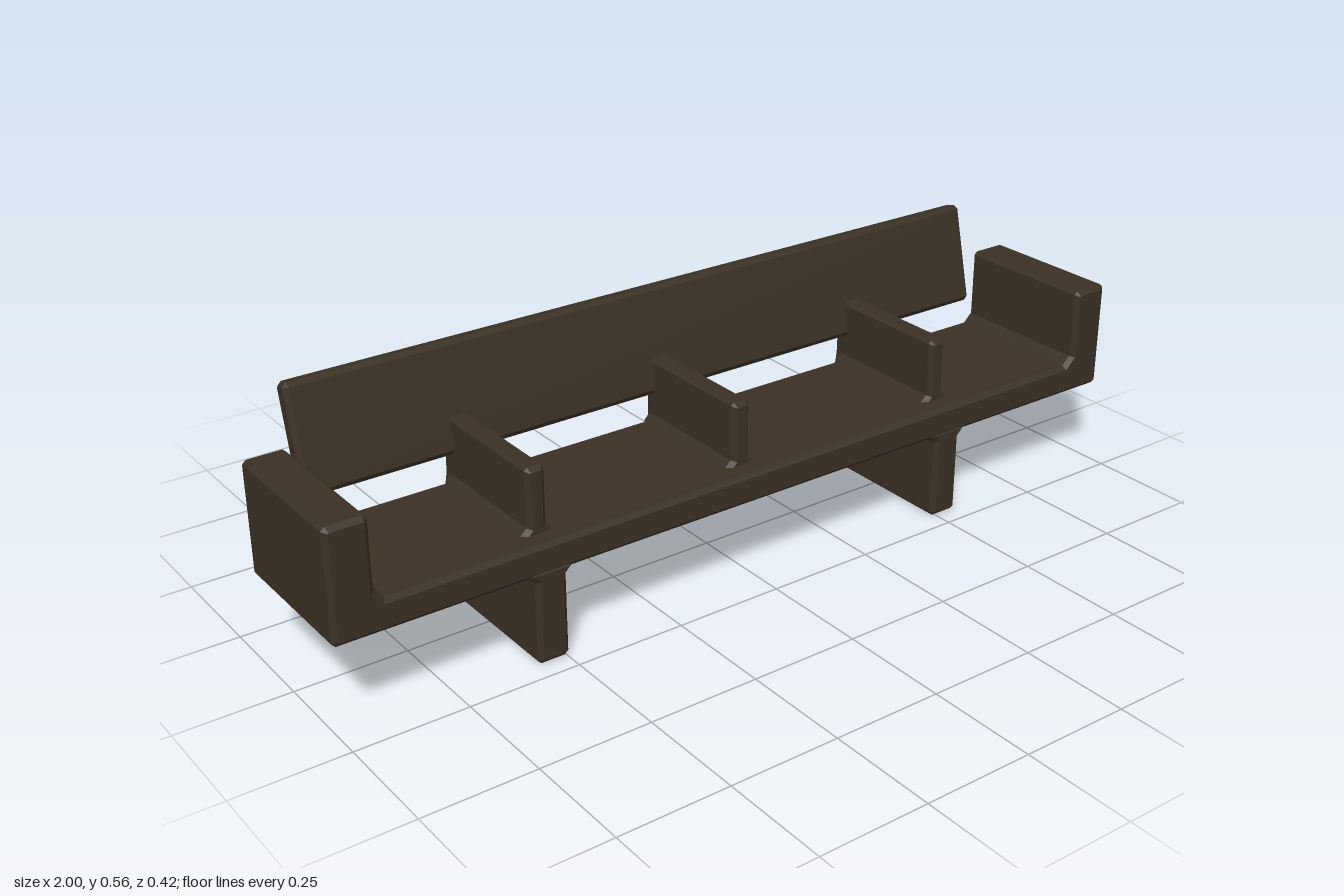
import * as THREE from 'three';
import { ConvexGeometry } from 'three/addons/geometries/ConvexGeometry.js';

const BEVEL = 0.01;

// Outline in x/y, extruded from zBack to zFront with chamfered end edges
function prism(points, zBack, zFront, bevel = BEVEL) {
  const shape = new THREE.Shape(points.map(([x, y]) => new THREE.Vector2(x, y)));
  const geometry = new THREE.ExtrudeGeometry(shape, {
    depth: zFront - zBack - 2 * bevel, bevelEnabled: true,
    bevelThickness: bevel, bevelSize: bevel, bevelOffset: -bevel, bevelSegments: 1,
  });
  return geometry.translate(0, 0, zBack + bevel);
}

// Completes a symmetric outline from its +x half, listed bottom to top
function mirrored(half) {
  return [...half, ...half.map(([x, y]) => [-x, y]).reverse()];
}

// Box with every edge and corner cut off
function chamferBox(w, h, d, c) {
  const points = [];
  for (const sx of [-1, 1]) for (const sy of [-1, 1]) for (const sz of [-1, 1]) {
    const cuts = [[0, c, c], [c, 0, c], [c, c, 0]];
    for (const [a, b, e] of cuts) {
      points.push(new THREE.Vector3(sx * (w / 2 - a), sy * (h / 2 - b), sz * (d / 2 - e)));
    }
  }
  return new ConvexGeometry(points);
}

export function createModel() {
  const group = new THREE.Group();
  const wood = new THREE.MeshStandardMaterial({ color: 0x3a3025 });
  wood.name = 'dark brown wood';

  const add = (name, geometry, x = 0) => {
    const mesh = new THREE.Mesh(geometry, wood);
    mesh.name = name;
    mesh.position.x = x;
    group.add(mesh);
    return mesh;
  };

  // Seat slab and upturned arms as one U-shaped body
  add('seatWithArms', prism(mirrored([
    [0.992, 0.2], [1, 0.208], [1, 0.442], [0.992, 0.45],
    [0.916, 0.45], [0.908, 0.442], [0.908, 0.29], [0.888, 0.27],
  ]), -0.14, 0.21));

  // Leaning backrest
  const backrest = add('backrest', chamferBox(1.77, 0.234, 0.044, 0.01));
  backrest.position.set(0, 0.446, -0.163);
  backrest.rotation.x = -0.235;

  // Panel legs, flared where they meet the seat, with tapering rear posts
  const leg = prism(mirrored([
    [0.028, 0], [0.036, 0.008], [0.036, 0.186], [0.05, 0.2], [0.05, 0.215],
  ]), -0.14, 0.21);
  const legSpine = prism(mirrored([
    [0.028, 0], [0.036, 0.008], [0.036, 0.2], [0.023, 0.28], [0.021, 0.38],
  ]), -0.167, -0.11);
  for (const x of [-0.53, 0.522]) {
    add('leg', leg, x);
    add('legRearPost', legSpine, x);
  }

  // Short bracket behind the middle of the seat
  add('middleRearPost', prism(mirrored([
    [0.026, 0.19], [0.034, 0.198], [0.034, 0.22], [0.023, 0.28], [0.021, 0.38],
  ]), -0.155, -0.11), -0.03);

  // Seat dividers with flared feet
  const divider = prism(mirrored([
    [0.036, 0.255], [0.036, 0.27], [0.022, 0.284], [0.022, 0.408], [0.015, 0.415],
  ]), -0.15, 0.165);
  for (const x of [-0.53, -0.03, 0.52]) add('divider', divider, x);

  return group;
}
